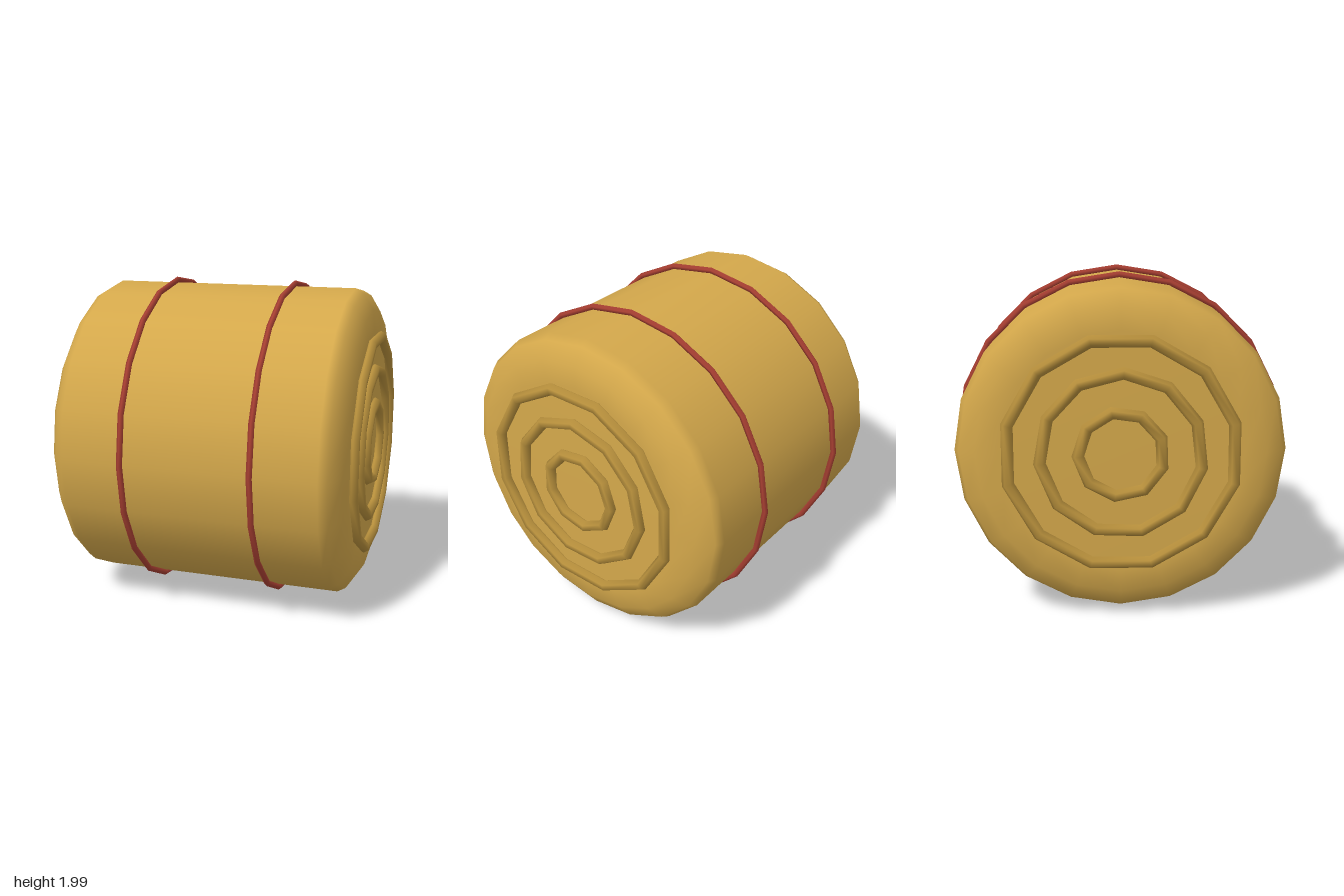
import * as THREE from 'three';

const mat = (name, color) => {
  const m = new THREE.MeshStandardMaterial({ color });
  m.name = name;
  return m;
};

export function createModel() {
  const straw = mat('straw', 0xd4a84b);
  const darkStraw = mat('darkStraw', 0xb8903c);
  const twine = mat('redTwine', 0xa83f32);

  const group = new THREE.Group();
  group.name = 'roundBale';
  const add = (name, geometry, material, x = 0) => {
    const mesh = new THREE.Mesh(geometry, material);
    mesh.name = name;
    mesh.position.set(x, 1, 0);
    group.add(mesh);
  };

  // Rolled body lying along x, with softened rims
  const half = [[0, 0.895], [0.7, 0.895], [0.83, 0.885], [0.93, 0.82], [0.958, 0.77]];
  const profile = [
    ...half.map(([r, h]) => new THREE.Vector2(r, -h)),
    ...half.slice().reverse().map(([r, h]) => new THREE.Vector2(r, h)),
  ];
  add('baleBody', new THREE.LatheGeometry(profile, 20).rotateZ(-Math.PI / 2), straw);

  // Hoop whose axis is x
  const hoop = (radius, tube, tubeSides, sides, turn = 0) =>
    new THREE.TorusGeometry(radius, tube, tubeSides, sides).rotateZ(turn).rotateY(Math.PI / 2);

  for (const [side, label] of [[1, 'left'], [-1, 'right']]) {
    // Twine wrapped around the bale
    add(label + 'Twine', hoop(0.975, 0.019, 5, 20), twine, side * 0.39);

    // Concentric ridges of the roll on each end
    [[0.665, 12], [0.465, 11], [0.245, 9]].forEach(([radius, sides], i) =>
      add(label + 'EndRidge' + (i + 1), hoop(radius, 0.036, 6, sides, i * 0.2 + 0.26), darkStraw, side * 0.907));
  }
  return group;
}
